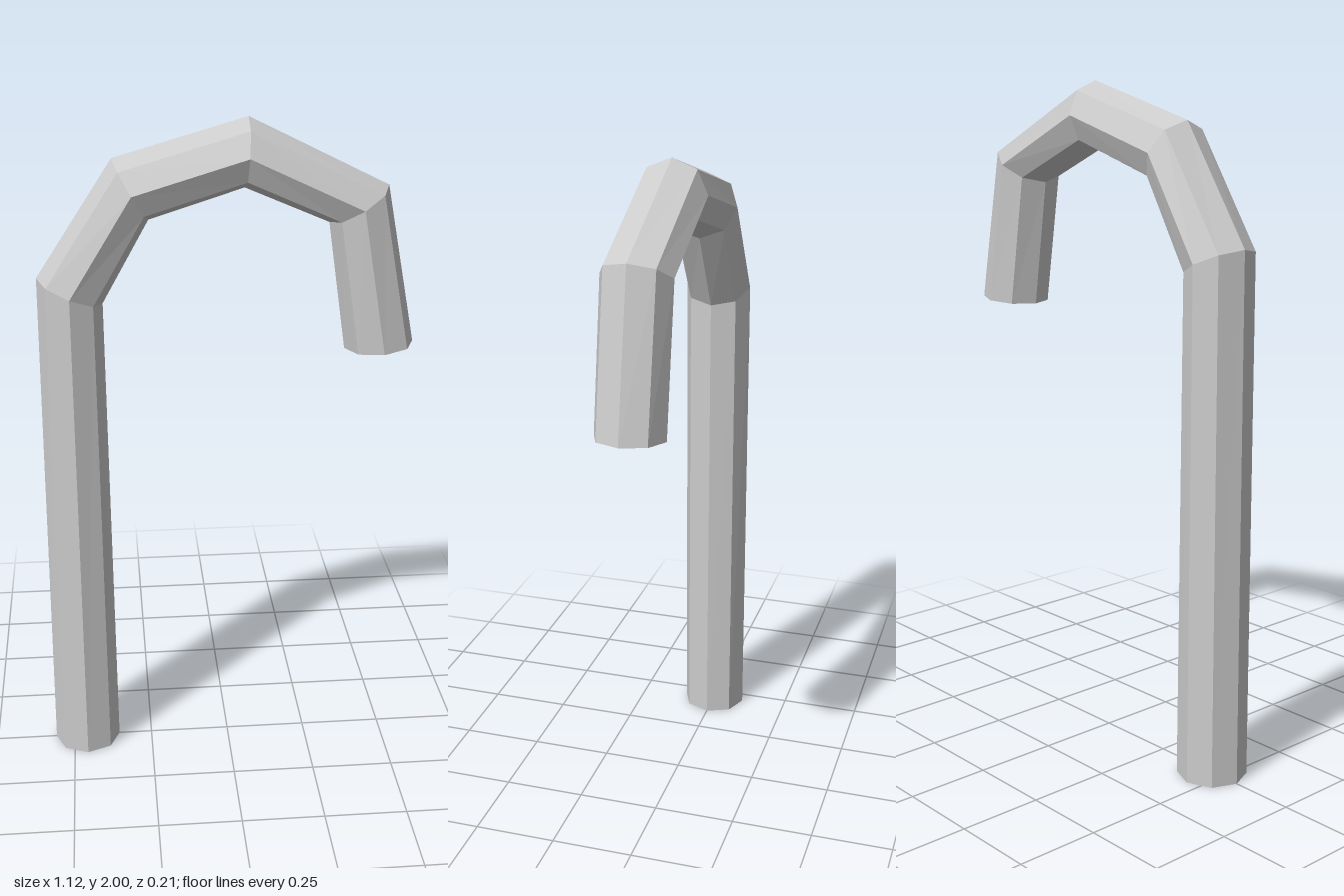
import * as THREE from 'three';

const SIDES = 8;
const HALF_DEPTH = 0.103;

// Each ring along the cane: outer x, y, then inner x, y
const RINGS = [
  [-0.56, 0, -0.355, 0],
  [-0.55, 1.55, -0.362, 1.47],
  [-0.325, 1.89, -0.225, 1.713],
  [0.06, 2.0, 0.05, 1.8],
  [0.465, 1.8, 0.295, 1.695],
  [0.555, 1.33, 0.35, 1.312],
];

// Octagonal tube swept through mitred rings, closed at both ends
function caneGeometry() {
  const positions = [];
  const index = [];
  const centres = RINGS.map(([ox, oy, ix, iy]) => [(ox + ix) / 2, (oy + iy) / 2, 0]);

  RINGS.forEach(([ox, oy], i) => {
    const [cx, cy] = centres[i];
    for (let j = 0; j < SIDES; j++) {
      const a = (j / SIDES) * Math.PI * 2;
      positions.push(
        cx + (ox - cx) * Math.cos(a),
        cy + (oy - cy) * Math.cos(a),
        HALF_DEPTH * Math.sin(a),
      );
    }
  });

  // Side walls
  const last = RINGS.length - 1;
  for (let i = 0; i < last; i++) {
    for (let j = 0; j < SIDES; j++) {
      const k = (j + 1) % SIDES;
      const a = i * SIDES + j, b = i * SIDES + k;
      index.push(a, b, b + SIDES, a, b + SIDES, a + SIDES);
    }
  }

  // End caps
  const start = RINGS.length * SIDES;
  positions.push(...centres[0], ...centres[last]);
  for (let j = 0; j < SIDES; j++) {
    const k = (j + 1) % SIDES;
    index.push(start, k, j);
    index.push(start + 1, last * SIDES + j, last * SIDES + k);
  }

  const indexed = new THREE.BufferGeometry();
  indexed.setAttribute('position', new THREE.Float32BufferAttribute(positions, 3));
  indexed.setIndex(index);
  const geometry = indexed.toNonIndexed();
  geometry.computeVertexNormals();
  return geometry;
}

export function createModel() {
  const group = new THREE.Group();
  group.name = 'hookedCane';
  const material = new THREE.MeshStandardMaterial({ color: 0xcccccc, flatShading: true });
  const cane = new THREE.Mesh(caneGeometry(), material);
  cane.name = 'cane';
  group.add(cane);
  return group;
}
